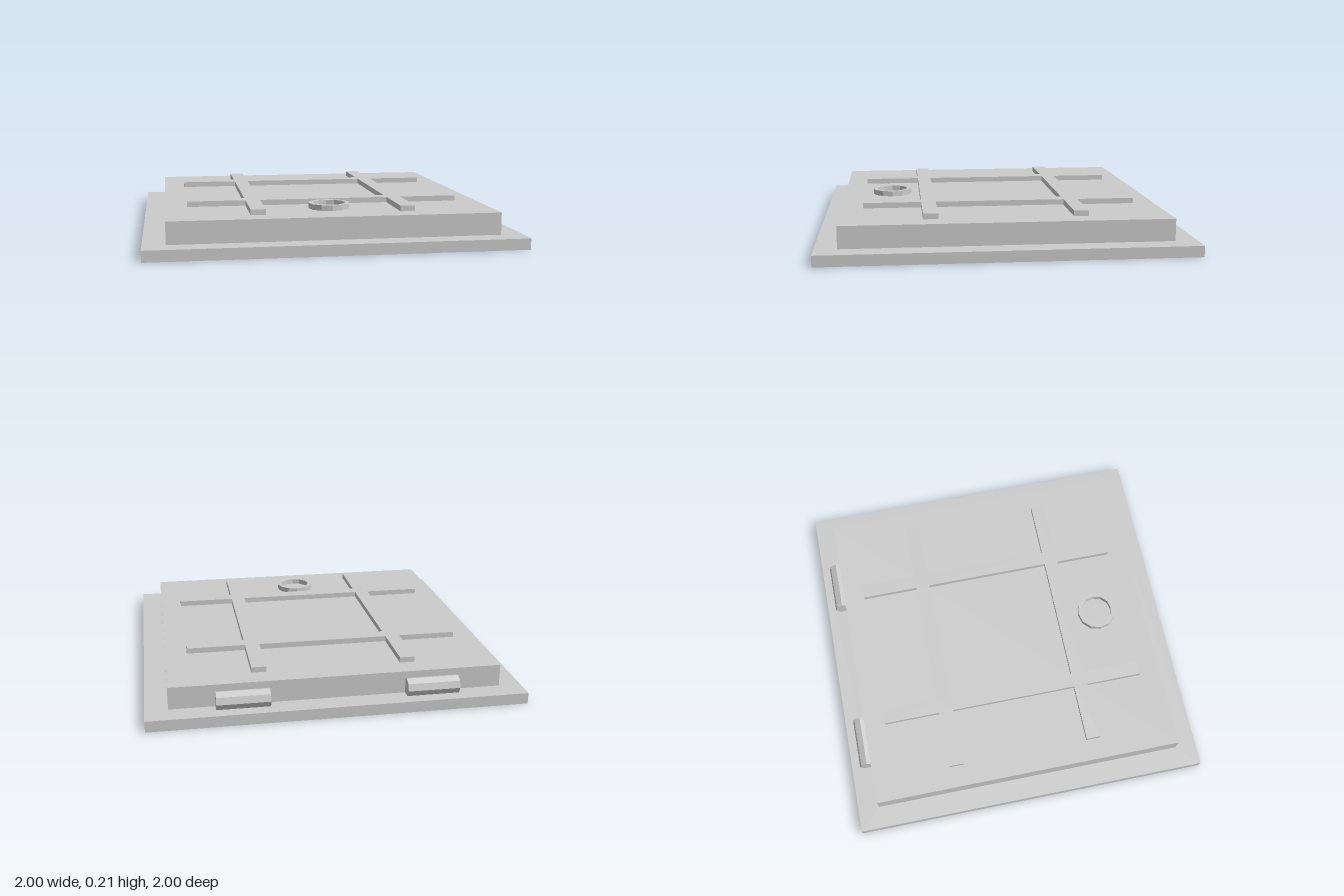
import * as THREE from 'three';

const material = new THREE.MeshStandardMaterial({ color: 0xcccccc, flatShading: true });

const squarePoints = (r) => [[-r, -r], [r, -r], [r, r], [-r, r]].map(([x, y]) => new THREE.Vector2(x, y));

export function createModel() {
  const group = new THREE.Group();

  function add(name, geometry, x = 0, y = 0, z = 0) {
    const mesh = new THREE.Mesh(geometry, material);
    mesh.name = name;
    mesh.position.set(x, y, z);
    group.add(mesh);
    return mesh;
  }

  // Flat plate with a square opening, lying in the ground plane
  function plate(outline, holeRadius, height) {
    const shape = new THREE.Shape(outline);
    shape.holes.push(new THREE.Path(squarePoints(holeRadius).reverse()));
    return new THREE.ExtrudeGeometry(shape, { depth: height, bevelEnabled: false }).rotateX(-Math.PI / 2);
  }

  // Surrounding frame, raised lid, and the plug under the lid that leaves a groove
  add('frame', plate(squarePoints(1), 0.88, 0.06));
  add('lid', new THREE.BoxGeometry(1.76, 0.12, 1.76), 0, 0.12, 0);
  add('lidPlug', new THREE.BoxGeometry(1.6, 0.06, 1.6), 0, 0.03, 0);

  // Crossed reinforcing ribs: one quarter of the outline turned four times
  const quarter = [[0.44, 0.36], [0.76, 0.36], [0.76, 0.44], [0.44, 0.44], [0.44, 0.76], [0.36, 0.76], [0.36, 0.44]];
  const outline = [];
  for (let i = 0; i < 4; i++) {
    for (const [x, y] of quarter) {
      outline.push(new THREE.Vector2(x, y).rotateAround(new THREE.Vector2(), i * Math.PI / 2));
    }
  }
  add('ribs', plate(outline, 0.36, 0.03), 0, 0.18, 0);

  // Pull ring with a square section
  const section = [[0.112, 0], [0.112, 0.03], [0.088, 0.03], [0.088, 0], [0.112, 0]];
  const ring = new THREE.LatheGeometry(section.map(([r, y]) => new THREE.Vector2(r, y)), 12);
  add('pullRing', ring, 0, 0.183, 0.6);

  // Hinge barrels along the back edge
  for (const side of [1, -1]) {
    const barrel = new THREE.CylinderGeometry(0.05, 0.05, 0.28, 8).rotateZ(Math.PI / 2).rotateX(-0.1);
    add(side > 0 ? 'leftHinge' : 'rightHinge', barrel, side * 0.5, 0.1, -0.9);
  }

  return group;
}
